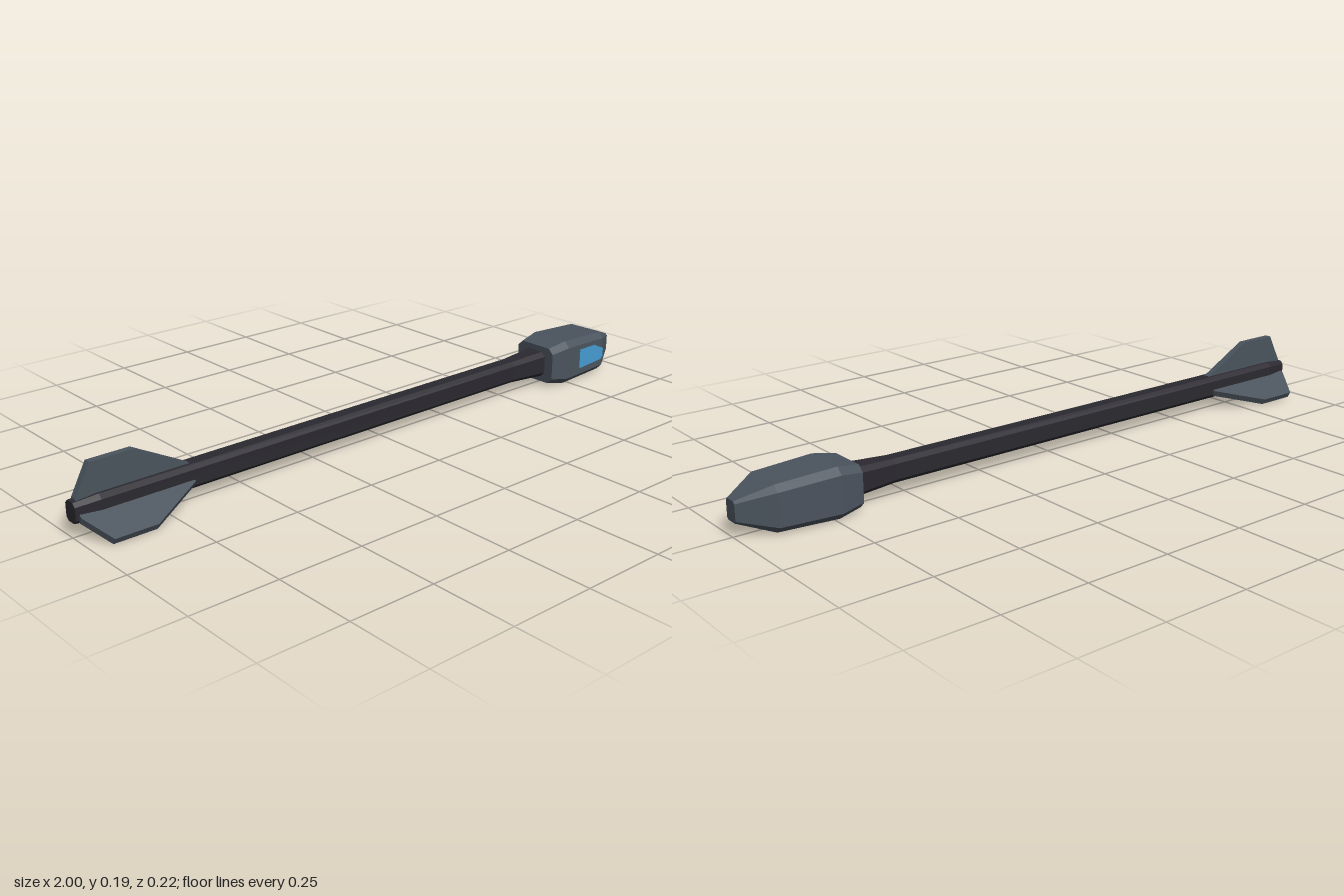
import * as THREE from 'three';

const AXIS_Y = 0.0705; // height of the long axis

// Chamfered rectangle around the x axis: half height h, half width w, chamfer c
function section([x, h, w, c]) {
  const a = h - c, b = w - c;
  return [[h, -b], [h, b], [a, w], [-a, w], [-h, b], [-h, -b], [-a, -w], [a, -w]]
    .map(([y, z]) => [x, y, z]);
}

// Flat-sided closed body through a row of sections, from low x to high x
function loft(rows) {
  const rings = rows.map(section);
  const pos = [];
  const tri = (...pts) => pts.forEach((p) => pos.push(...p));
  for (let i = 0; i < rings.length - 1; i++) {
    for (let j = 0; j < 8; j++) {
      const k = (j + 1) % 8, a = rings[i], b = rings[i + 1];
      tri(a[j], a[k], b[k]);
      tri(a[j], b[k], b[j]);
    }
  }
  const first = rings[0], last = rings[rings.length - 1];
  for (let j = 1; j < 7; j++) {
    tri(first[0], first[j + 1], first[j]);
    tri(last[0], last[j], last[j + 1]);
  }
  const geo = new THREE.BufferGeometry();
  geo.setAttribute('position', new THREE.Float32BufferAttribute(pos, 3));
  geo.computeVertexNormals();
  return geo;
}

// Flat plate from an outline in x and y
function plate(points, depth) {
  const shape = new THREE.Shape(points.map(([x, y]) => new THREE.Vector2(x, y)));
  return new THREE.ExtrudeGeometry(shape, { depth, bevelEnabled: false });
}

export function createModel() {
  const model = new THREE.Group();
  model.name = 'dart';
  const body = new THREE.Group();
  body.name = 'body';
  body.position.y = AXIS_Y;
  model.add(body);

  const material = (name, color) => {
    const m = new THREE.MeshStandardMaterial({ color });
    m.name = name;
    return m;
  };
  const darkGrey = material('darkGrey', 0x2b2930);
  const steelGrey = material('steelGrey', 0x4a535d);
  const blue = material('blue', 0x459bd0);

  const add = (name, geo, mat) => {
    const mesh = new THREE.Mesh(geo, mat);
    mesh.name = name;
    body.add(mesh);
    return mesh;
  };

  // Long shaft, narrowed at the tail and flared into the head
  add('shaft', loft([
    [-1, 0.028, 0.023, 0.010],
    [-0.93, 0.034, 0.030, 0.012],
    [0.54, 0.034, 0.030, 0.012],
    [0.68, 0.041, 0.042, 0.014],
  ]), darkGrey);

  // Faceted head with a blunt tip
  add('head', loft([
    [0.668, 0.058, 0.073, 0.017],
    [0.735, 0.0705, 0.083, 0.019],
    [0.91, 0.063, 0.076, 0.017],
    [1, 0.029, 0.022, 0.006],
  ]), steelGrey);

  // Window on the front side of the head, leaning with its face
  const pane = add('window', plate([
    [0, -0.03], [0.11, -0.024], [0.121, -0.015], [0.121, 0.012], [0.075, 0.033], [0, 0.033],
  ], 0.003), blue);
  pane.position.set(0.792, 0, 0.0792);
  pane.rotation.y = Math.atan2(0.007, 0.175);

  // Three tail fins around the shaft
  for (let i = 0; i < 3; i++) {
    const geo = plate([
      [-0.99, 0.015], [-0.66, 0.015], [-0.66, 0.034], [-0.82, 0.119], [-0.945, 0.119], [-0.99, 0.034],
    ], 0.02);
    geo.translate(0, 0, -0.01);
    add('fin' + (i + 1), geo, steelGrey).rotation.x = (i * Math.PI * 2) / 3;
  }
  return model;
}
